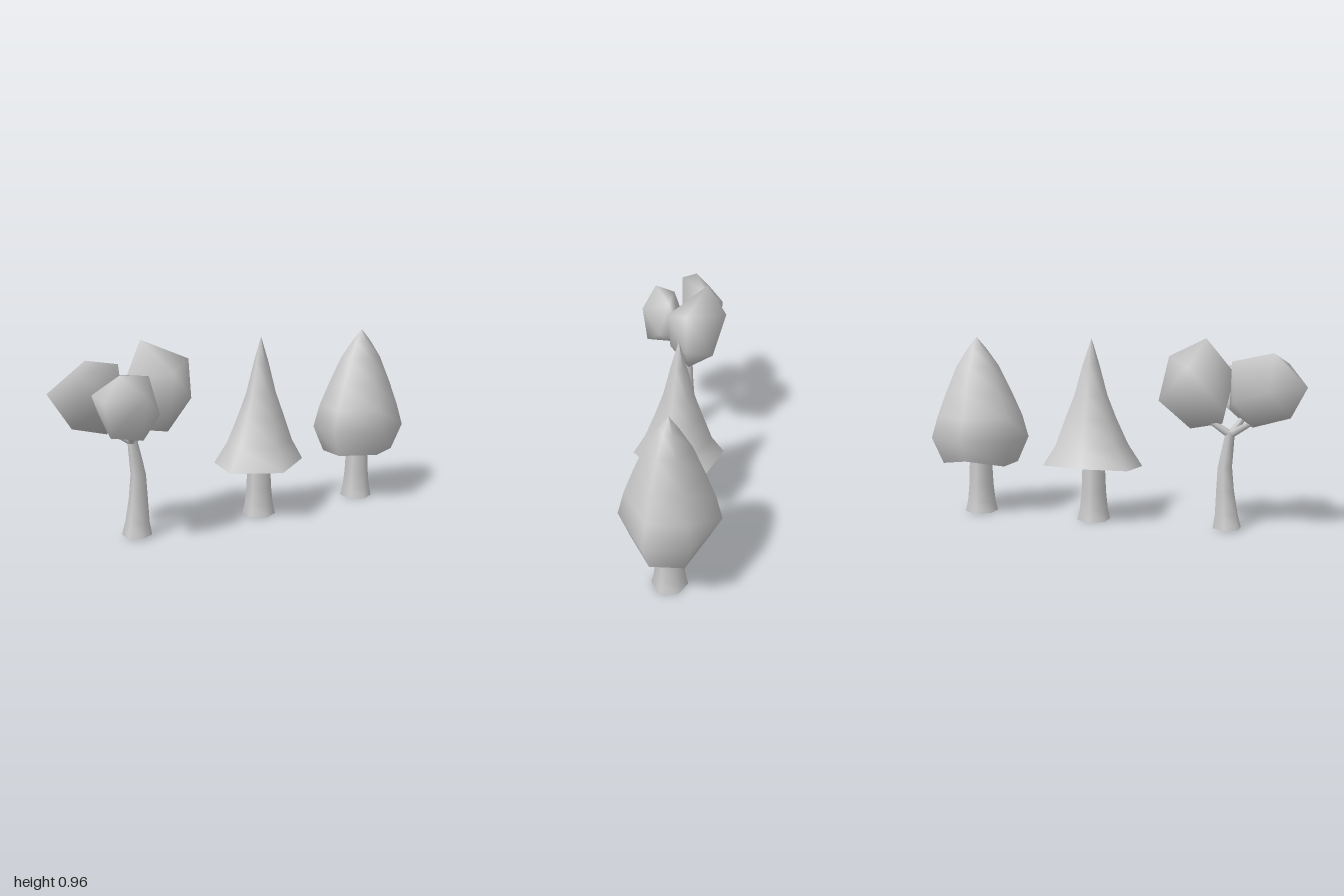
import * as THREE from 'three';
import { ConvexGeometry } from 'three/addons/geometries/ConvexGeometry.js';
import { mergeVertices } from 'three/addons/utils/BufferGeometryUtils.js';

const material = new THREE.MeshStandardMaterial({ color: 0xcccccc, side: THREE.DoubleSide });

// Regular six-sided outline with a corner towards the front
const HEX = Array.from({ length: 6 }, (_, i) => [Math.sin(i * Math.PI / 3), Math.cos(i * Math.PI / 3)]);

function addMesh(parent, name, geometry) {
  const mesh = new THREE.Mesh(geometry, material);
  mesh.name = name;
  parent.add(mesh);
}

// Open skin through rings [x, y, z, scale] of one outline; lift raises corners of the lowest ring
function loft(outline, rings, lift = []) {
  const n = outline.length, positions = [], index = [];
  rings.forEach(([cx, y, cz, s], r) => outline.forEach(([ox, oz], i) => {
    positions.push(cx + ox * s, y + (r === 0 ? lift[i] || 0 : 0), cz + oz * s);
    if (r === rings.length - 1) return;
    const a = r * n + i, b = r * n + (i + 1) % n;
    index.push(a, b, a + n);
    if (rings[r + 1][3] > 0) index.push(b, b + n, a + n);
  }));
  const geometry = new THREE.BufferGeometry();
  geometry.setAttribute('position', new THREE.Float32BufferAttribute(positions, 3));
  geometry.setIndex(index);
  geometry.computeVertexNormals();
  return geometry;
}

// Smooth-shaded faceted leaf clump around a few corner points
function clump(points) {
  const hull = new ConvexGeometry(points.map((p) => new THREE.Vector3(...p)));
  hull.deleteAttribute('normal');
  const geometry = mergeVertices(hull);
  geometry.computeVertexNormals();
  return geometry;
}

// Thin tapered branch between two points
function branch(from, to) {
  const a = new THREE.Vector3(...from), b = new THREE.Vector3(...to);
  const dir = b.clone().sub(a);
  const geometry = new THREE.CylinderGeometry(0.012, 0.02, dir.length(), 6, 1, true);
  geometry.applyQuaternion(new THREE.Quaternion().setFromUnitVectors(new THREE.Vector3(0, 1, 0), dir.normalize()));
  const mid = a.add(b).multiplyScalar(0.5);
  return geometry.translate(mid.x, mid.y, mid.z);
}

function straightTrunk(x) {
  return loft(HEX, [[x, 0, -0.01, 0.088], [x, 0.06, -0.01, 0.075], [x, 0.15, -0.01, 0.066],
    [x, 0.27, -0.01, 0.061], [x, 0.5, -0.01, 0.045]]);
}

export function createModel() {
  const group = new THREE.Group();
  const tree = (name) => {
    const g = new THREE.Group();
    g.name = name;
    group.add(g);
    return g;
  };

  // Flared conical tree
  const cone = tree('coneTree');
  addMesh(cone, 'trunk', straightTrunk(0.105));
  addMesh(cone, 'foliage', loft(
    [[0, 0.235], [0.225, 0.075], [0.235, -0.13], [-0.005, -0.235], [-0.215, -0.105], [-0.235, 0.105]],
    [[0.105, 0.28, -0.007, 1], [0.112, 0.4, -0.008, 0.73], [0.118, 0.54, -0.01, 0.51],
      [0.118, 0.66, -0.01, 0.33], [0.117, 0.82, -0.01, 0.165], [0.115, 0.955, -0.01, 0]],
    [0.003, 0.015, 0.018, 0.03, 0.008, 0]));

  // Full teardrop tree
  const teardrop = tree('teardropTree');
  addMesh(teardrop, 'trunk', straightTrunk(0.76));
  addMesh(teardrop, 'foliage', loft(
    [[-0.005, 0.235], [0.24, 0.1], [0.24, -0.105], [0, -0.24], [-0.23, -0.105], [-0.24, 0.105]],
    [[0.76, 0.27, -0.01, 0.77], [0.76, 0.41, -0.01, 1], [0.758, 0.53, -0.01, 0.87],
      [0.762, 0.66, -0.01, 0.67], [0.766, 0.8, -0.01, 0.43], [0.769, 0.89, -0.01, 0.2], [0.77, 0.955, -0.01, 0]],
    [0.008, 0, 0, 0.035, 0, 0.003]));

  // Branching tree with a bent trunk
  const branching = tree('branchingTree');
  addMesh(branching, 'trunk', loft(HEX, [[-0.605, 0.01, -0.01, 0.075], [-0.601, 0.08, -0.01, 0.06],
    [-0.593, 0.2, -0.01, 0.047], [-0.59, 0.32, -0.01, 0.038], [-0.605, 0.43, -0.012, 0.03],
    [-0.615, 0.5, -0.015, 0.024]]));
  const fork = [-0.615, 0.485, -0.015];
  [[-0.78, 0.59, -0.07], [-0.48, 0.58, -0.05], [-0.69, 0.6, 0.12]].forEach((tip) =>
    addMesh(branching, 'branch', branch(fork, tip)));

  addMesh(branching, 'rightLeafClump', clump([[-0.995, 0.74, -0.12], [-0.825, 0.895, -0.05],
    [-0.89, 0.84, 0.035], [-0.635, 0.855, -0.115], [-0.825, 0.72, -0.205], [-0.655, 0.67, -0.195],
    [-0.91, 0.58, -0.03], [-0.73, 0.53, -0.05], [-0.69, 0.72, 0.025], [-0.62, 0.62, -0.08]]));
  addMesh(branching, 'leftLeafClump', clump([[-0.51, 0.965, -0.125], [-0.44, 0.83, -0.23],
    [-0.3, 0.87, -0.02], [-0.285, 0.66, -0.165], [-0.287, 0.67, -0.02], [-0.415, 0.51, -0.03],
    [-0.575, 0.54, -0.02], [-0.62, 0.62, -0.195], [-0.635, 0.79, -0.03], [-0.43, 0.82, 0.088],
    [-0.45, 0.62, 0.075]]));
  addMesh(branching, 'frontLeafClump', clump([[-0.75, 0.848, 0.18], [-0.7, 0.835, 0.07],
    [-0.565, 0.82, 0.09], [-0.645, 0.75, 0.248], [-0.537, 0.64, 0.145], [-0.815, 0.575, 0.215],
    [-0.66, 0.548, 0.225], [-0.65, 0.545, 0.09], [-0.57, 0.63, 0.03], [-0.852, 0.755, 0.09],
    [-0.83, 0.73, 0.18], [-0.8, 0.65, 0.03]]));

  return group;
}
